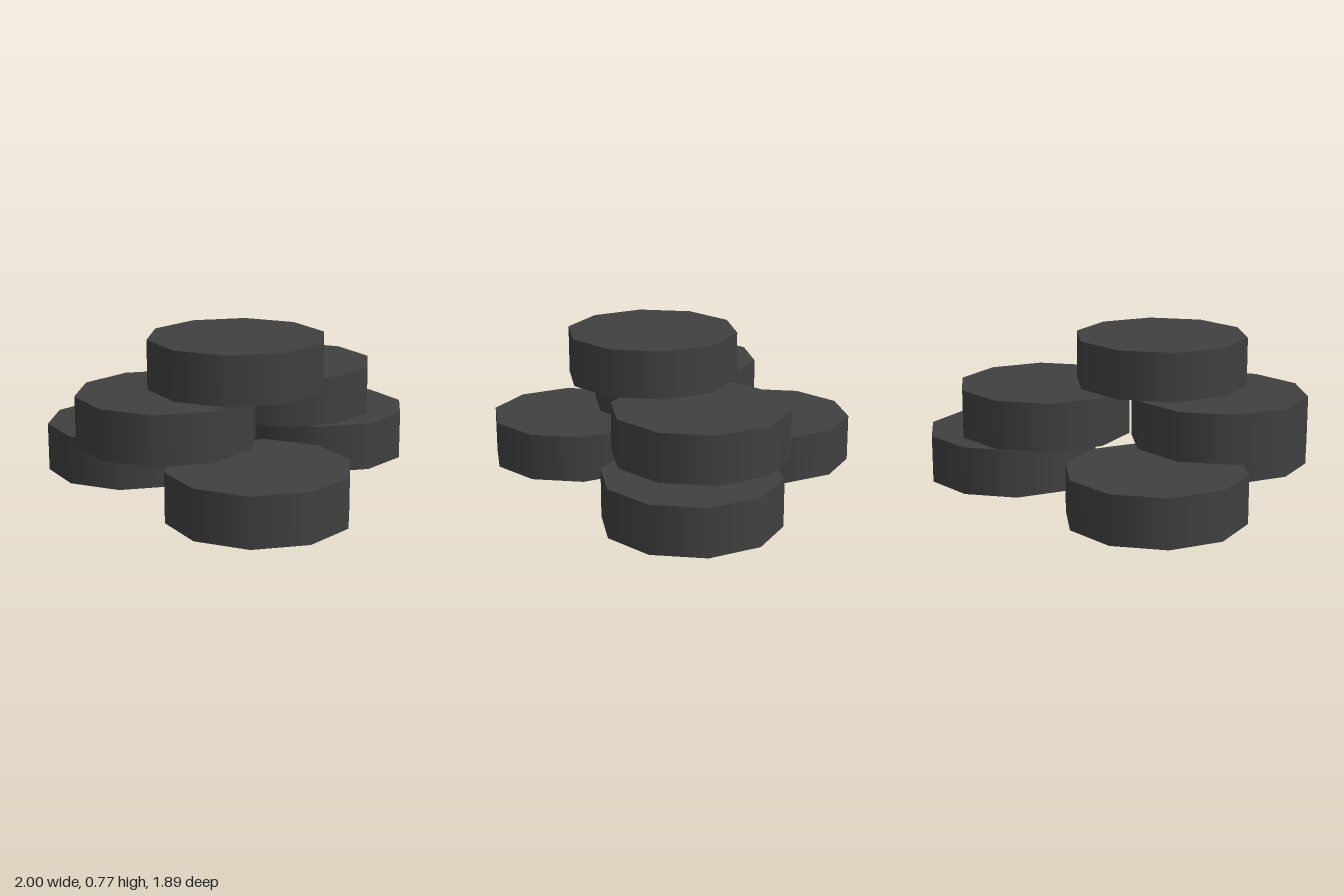
import * as THREE from 'three';

const RADIUS = 0.447, HEIGHT = 0.247, SIDES = 10;

export function createModel() {
  const model = new THREE.Group();
  model.name = 'puckStack';

  const rubber = new THREE.MeshStandardMaterial({ color: 0x404040, side: THREE.DoubleSide });
  rubber.name = 'dark rubber';

  // Shared parts: a ten-sided wall, open below, and a flat top; corners lie on the x axis
  const wallGeometry = new THREE.CylinderGeometry(RADIUS, RADIUS, HEIGHT, SIDES, 1, true, Math.PI / 10);
  wallGeometry.translate(0, HEIGHT / 2, 0);
  const topGeometry = new THREE.CircleGeometry(RADIUS, SIDES);
  topGeometry.rotateX(-Math.PI / 2).translate(0, HEIGHT, 0);

  function addPuck(name, x, y, z) {
    const puck = new THREE.Group();
    puck.name = name;
    const wall = new THREE.Mesh(wallGeometry, rubber);
    wall.name = 'wall';
    const top = new THREE.Mesh(topGeometry, rubber);
    top.name = 'top';
    puck.add(wall, top);
    puck.position.set(x, y, z);
    model.add(puck);
  }

  // Bottom layer
  addPuck('bottomBackPuck', -0.322, 0, -0.52);
  addPuck('bottomFrontPuck', -0.517, 0, 0.515);
  addPuck('bottomLeftPuck', 0.553, 0, 0.05);

  // Middle layer
  addPuck('middleRightPuck', -0.553, 0.273, -0.045);
  addPuck('middleLeftPuck', 0.355, 0.273, -0.027);

  // Top layer
  addPuck('topPuck', -0.228, 0.52, 0.123);

  return model;
}
